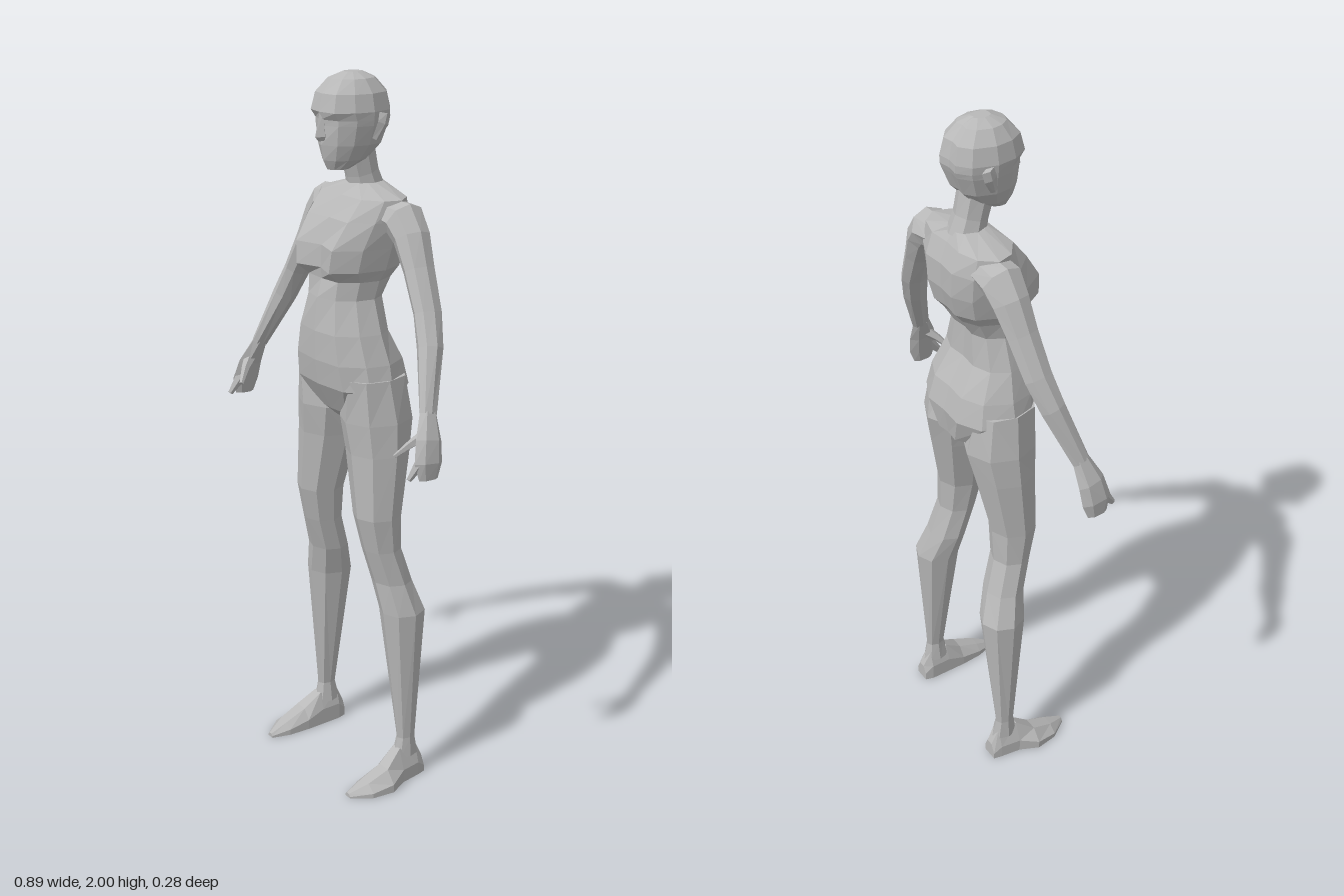
import * as THREE from 'three';

const skin = new THREE.MeshStandardMaterial({ color: 0xb8b8b8 });
skin.name = 'plain grey';

const mix = THREE.MathUtils.lerp;

// Faceted skin over a list of equal-length rings, closed at both ends.
// side = -1 mirrors the part across x = 0.
function loft(name, rings, side = 1) {
  const n = rings[0].length, pos = [], index = [];
  const mid = (ring) => ring.reduce((s, p) => s.add(p), new THREE.Vector3()).divideScalar(n);
  const points = [...rings.flat(), mid(rings[0]), mid(rings[rings.length - 1])];
  points.forEach((p) => pos.push(p.x * side, p.y, p.z));
  const tri = (a, b, c) => (side > 0 ? index.push(a, b, c) : index.push(a, c, b));
  const last = (rings.length - 1) * n, base = rings.length * n;
  for (let j = 0; j < n; j++) {
    const k = (j + 1) % n;
    for (let i = 0; i < last; i += n) {
      tri(i + j, i + k, i + n + k);
      tri(i + j, i + n + k, i + n + j);
    }
    tri(base, k, j);
    tri(base + 1, last + j, last + k);
  }
  const indexed = new THREE.BufferGeometry();
  indexed.setAttribute('position', new THREE.Float32BufferAttribute(pos, 3));
  indexed.setIndex(index);
  const geometry = indexed.toNonIndexed();
  geometry.computeVertexNormals();
  const mesh = new THREE.Mesh(geometry, skin);
  mesh.name = name;
  return mesh;
}

// Symmetric body section: height, half width, z of front centre, front middle, side, back
function bodyRing([y, w, zF, zM, zS, zB]) {
  const half = [
    [0, zF], [0.58 * w, zM], [0.9 * w, mix(zM, zS, 0.45)], [w, zS],
    [0.78 * w, mix(zB, zS, 0.3)], [0.4 * w, zB], [0, zB + 0.005],
  ];
  const mirrored = half.slice(1, -1).reverse().map(([x, z]) => [-x, z]);
  return [...half, ...mirrored].map(([x, z]) => new THREE.Vector3(x, y, z));
}

// Limb along a path: rows of x, y, z, sideways radius, front-back radius
function limb(name, rows, sides, side = 1) {
  const centres = rows.map((r) => new THREE.Vector3(r[0], r[1], r[2]));
  const rings = rows.map((row, i) => {
    const d = centres[Math.min(i + 1, rows.length - 1)].clone()
      .sub(centres[Math.max(i - 1, 0)]).normalize();
    const u = new THREE.Vector3(0, 0, 1).addScaledVector(d, -d.z).normalize();
    const v = d.clone().cross(u);
    return Array.from({ length: sides }, (_, j) => {
      const t = (j / sides) * Math.PI * 2;
      return centres[i].clone()
        .addScaledVector(v, Math.sin(t) * row[3])
        .addScaledVector(u, Math.cos(t) * row[4]);
    });
  });
  return loft(name, rings, side);
}

// Leg section: height, inner x, outer x, back z, front z
function legRing([y, xIn, xOut, zB, zF]) {
  return Array.from({ length: 8 }, (_, j) => {
    const t = (j / 8) * Math.PI * 2;
    return new THREE.Vector3(
      (xIn + xOut) / 2 + (Math.sin(t) * (xOut - xIn)) / 2, y,
      (zB + zF) / 2 + (Math.cos(t) * (zF - zB)) / 2);
  });
}

// Foot section with a flat sole: z, inner x, outer x, top height
function footRing([z, xIn, xOut, top]) {
  return [
    [xOut, 0], [xOut, top * 0.4], [mix(xIn, xOut, 0.68), top],
    [mix(xIn, xOut, 0.25), top], [xIn, top * 0.5], [xIn, 0],
  ].map(([x, y]) => new THREE.Vector3(x, y, z));
}

export function createModel() {
  const figure = new THREE.Group();
  figure.name = 'figure';

  // Torso from crotch to base of neck
  figure.add(loft('torso', [
    [1.07, 0.03, 0.02, 0.02, -0.02, -0.06],
    [1.1, 0.1, 0.055, 0.05, -0.03, -0.125],
    [1.18, 0.178, 0.1, 0.09, -0.02, -0.138],
    [1.25, 0.163, 0.11, 0.1, -0.02, -0.12],
    [1.33, 0.137, 0.11, 0.1, -0.01, -0.075],
    [1.42, 0.106, 0.1, 0.085, -0.01, -0.07],
    [1.47, 0.114, 0.085, 0.08, -0.02, -0.1],
    [1.5, 0.128, 0.088, 0.115, -0.03, -0.125],
    [1.56, 0.14, 0.085, 0.11, -0.04, -0.14],
    [1.63, 0.153, 0.06, 0.065, -0.05, -0.14],
    [1.685, 0.155, 0.02, 0.022, -0.06, -0.12],
    [1.715, 0.05, -0.005, -0.015, -0.055, -0.1],
  ].map(bodyRing)));

  // Neck
  figure.add(limb('neck', [
    [0, 1.69, -0.06, 0.052, 0.052],
    [0, 1.74, -0.045, 0.045, 0.046],
    [0, 1.82, -0.025, 0.046, 0.05],
  ], 8));

  // Head from chin to crown
  figure.add(loft('head', [
    [1.755, 0.028, 0.065, 0.055, 0.03, 0.005],
    [1.78, 0.052, 0.078, 0.06, 0, -0.045],
    [1.82, 0.074, 0.085, 0.064, -0.015, -0.085],
    [1.87, 0.086, 0.084, 0.066, -0.02, -0.105],
    [1.885, 0.088, 0.085, 0.066, -0.02, -0.11],
    [1.905, 0.09, 0.09, 0.08, -0.02, -0.11],
    [1.95, 0.08, 0.08, 0.07, -0.02, -0.1],
    [1.985, 0.055, 0.05, 0.04, -0.015, -0.07],
    [2, 0.02, 0.01, 0.008, -0.015, -0.04],
  ].map(bodyRing)));
  figure.add(limb('nose', [
    [0, 1.9, 0.082, 0.007, 0.008],
    [0, 1.842, 0.082, 0.015, 0.021],
    [0, 1.832, 0.08, 0.01, 0.012],
  ], 4));

  for (const side of [1, -1]) {
    const label = side > 0 ? 'left' : 'right';
    figure.add(limb(label + 'Ear', [
      [0.09, 1.9, -0.052, 0.01, 0.018],
      [0.092, 1.875, -0.045, 0.008, 0.018],
      [0.08, 1.835, -0.028, 0.006, 0.01],
    ], 4, side));

    // Arm hanging outward and slightly forward
    figure.add(limb(label + 'Arm', [
      [0.1, 1.645, -0.06, 0.04, 0.055],
      [0.165, 1.635, -0.06, 0.052, 0.058],
      [0.2, 1.595, -0.058, 0.044, 0.052],
      [0.242, 1.52, -0.05, 0.035, 0.045],
      [0.295, 1.42, -0.038, 0.031, 0.041],
      [0.332, 1.34, -0.018, 0.032, 0.036],
      [0.392, 1.19, 0.033, 0.017, 0.026],
    ], 8, side));

    // Hand with thumb and forefinger
    const hand = new THREE.Group();
    hand.name = label + 'Hand';
    hand.add(limb('palm', [
      [0.39, 1.195, 0.032, 0.017, 0.025],
      [0.417, 1.13, 0.05, 0.02, 0.04],
      [0.43, 1.075, 0.06, 0.018, 0.044],
      [0.434, 1.032, 0.062, 0.01, 0.03],
    ], 6, side));
    hand.add(limb('thumb', [
      [0.41, 1.145, 0.055, 0.016, 0.018],
      [0.39, 1.12, 0.085, 0.011, 0.012],
      [0.363, 1.085, 0.117, 0.005, 0.006],
    ], 5, side));
    hand.add(limb('forefinger', [
      [0.425, 1.09, 0.075, 0.015, 0.02],
      [0.424, 1.04, 0.118, 0.006, 0.008],
    ], 5, side));
    figure.add(hand);

    // Leg from ankle to hip
    figure.add(loft(label + 'Leg', [
      [0.07, 0.168, 0.225, -0.105, -0.02],
      [0.13, 0.177, 0.22, -0.092, -0.034],
      [0.53, 0.112, 0.241, -0.126, 0.005],
      [0.62, 0.09, 0.215, -0.095, 0.015],
      [0.72, 0.083, 0.2, -0.066, 0.043],
      [0.82, 0.068, 0.203, -0.068, 0.066],
      [1, 0.024, 0.202, -0.105, 0.07],
      [1.09, 0.004, 0.196, -0.125, 0.08],
      [1.21, 0.05, 0.174, -0.105, 0.08],
    ].map(legRing), side));

    // Foot from heel to toe
    figure.add(loft(label + 'Foot', [
      [-0.115, 0.175, 0.222, 0.05],
      [-0.09, 0.168, 0.227, 0.1],
      [-0.03, 0.168, 0.235, 0.1],
      [0.025, 0.168, 0.26, 0.06],
      [0.09, 0.173, 0.25, 0.035],
      [0.145, 0.19, 0.212, 0.012],
    ].map(footRing), side));
  }
  return figure;
}
